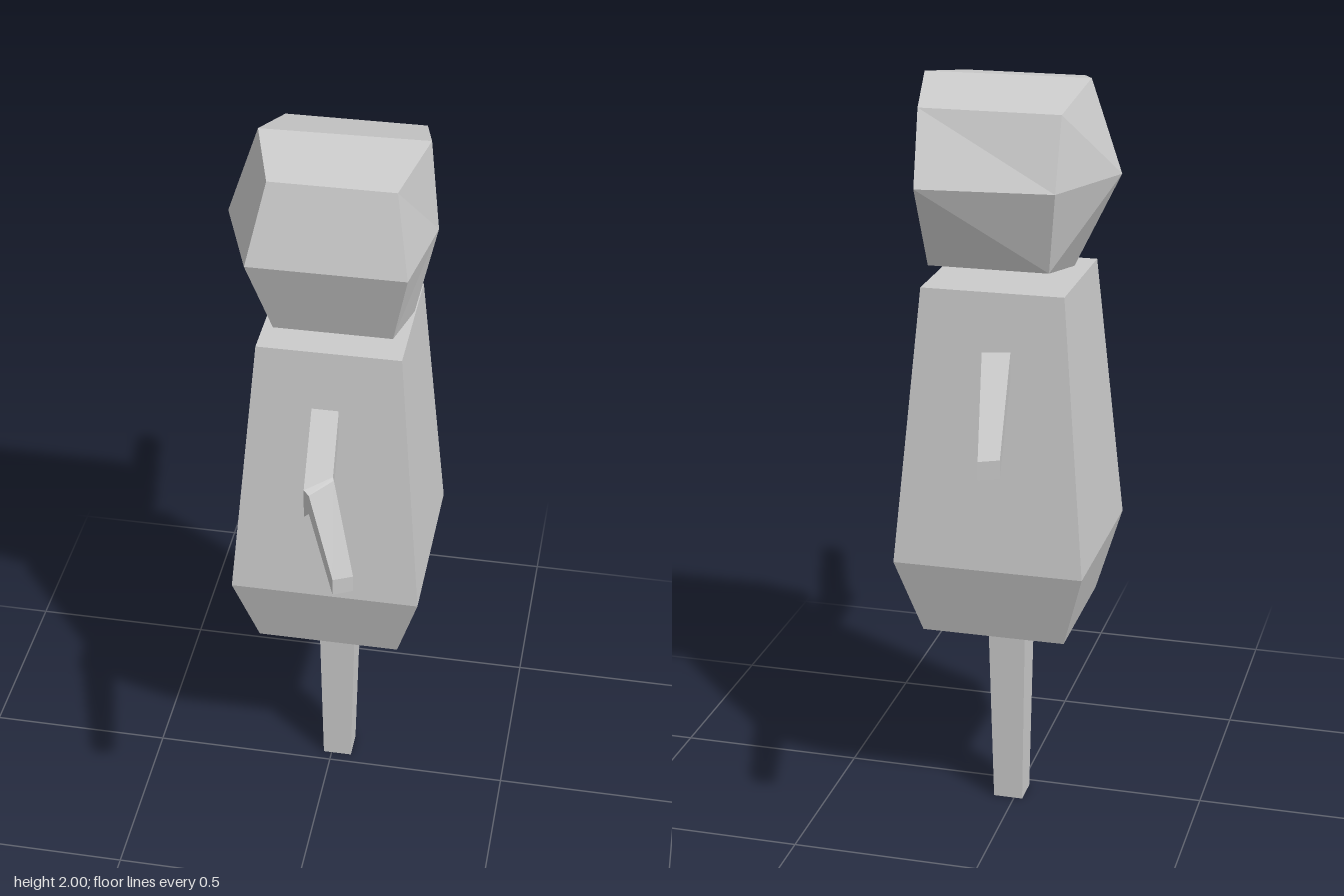
import * as THREE from 'three';

const CX = 0.017, CZ = -0.07;

const average = (ring) => ring
  .reduce((sum, p) => sum.map((v, k) => v + p[k]), [0, 0, 0])
  .map((v) => v / ring.length);

// Joins rings of points (counter-clockwise seen from the end) and closes both ends with a fan
function loft(name, rings, startTip, endTip) {
  const n = rings[0].length, first = rings[0], last = rings[rings.length - 1];
  const start = startTip || average(first), end = endTip || average(last);
  const pos = [];
  const tri = (a, b, c) => pos.push(...a, ...b, ...c);
  for (let i = 0; i < n; i++) {
    const j = (i + 1) % n;
    for (let r = 0; r < rings.length - 1; r++) {
      const a = rings[r], b = rings[r + 1];
      tri(a[i], a[j], b[j]);
      tri(a[i], b[j], b[i]);
    }
    tri(start, first[j], first[i]);
    tri(end, last[i], last[j]);
  }
  const geo = new THREE.BufferGeometry();
  geo.setAttribute('position', new THREE.Float32BufferAttribute(pos, 3));
  geo.computeVertexNormals();
  const mesh = new THREE.Mesh(geo, new THREE.MeshStandardMaterial({ color: 0xcccccc, flatShading: true }));
  mesh.name = name;
  return mesh;
}

// Horizontal square of half width h
const square = (y, h) => [[-h, h], [h, h], [h, -h], [-h, -h]].map(([x, z]) => [CX + x, y, CZ + z]);

// Upright four-cornered arm section: two sides, each [x, z, bottom y, top y]
const armRing = ([lx, lz, lb, lt], [rx, rz, rb, rt]) =>
  [[lx, lb, lz], [rx, rb, rz], [rx, rt, rz], [lx, lt, lz]];

export function createModel() {
  const group = new THREE.Group();

  // Post and tapered body
  group.add(loft('post', [square(0, 0.04), square(0.6, 0.052)]));
  group.add(loft('body', [square(0.555, 0.19), square(0.765, 0.25), square(1.49, 0.185)]));

  // Head: eight-sided profile across x, with pointed cheeks; rows are [left x, right x, y, left z, right z]
  const profile = [
    [-0.19, 0.235, 2.0, -0.07, -0.08],
    [-0.13, 0.185, 1.967, 0.127, 0.127],
    [-0.175, 0.222, 1.765, 0.19, 0.19],
    [-0.12, 0.18, 1.56, 0.127, 0.127],
    [-0.15, 0.205, 1.52, -0.07, -0.07],
    [-0.13, 0.18, 1.55, -0.26, -0.26],
    [-0.16, 0.185, 1.765, -0.325, -0.355],
    [-0.16, 0.2, 1.945, -0.26, -0.26],
  ];
  group.add(loft('head', [
    profile.map(([l, , y, z]) => [l, y, z]),
    profile.map(([, r, y, , z]) => [r, y, z]),
  ], [-0.27, 1.765, -0.07], [0.26, 1.765, -0.07]));

  // Bent front arm
  group.add(loft('frontArm', [
    armRing([-0.03, 0.08, 1.25, 1.33], [0.04, 0.08, 1.255, 1.33]),
    armRing([0.02, 0.465, 1.245, 1.325], [0.08, 0.40, 1.26, 1.325]),
    armRing([0.035, 0.478, 1.265, 1.32], [0.084, 0.41, 1.265, 1.322]),
    armRing([0.15, 0.795, 1.287, 1.33], [0.195, 0.78, 1.293, 1.335]),
  ]));

  // Straight back arm, tip first
  group.add(loft('backArm', [
    armRing([-0.145, -0.79, 1.21, 1.255], [-0.095, -0.80, 1.205, 1.25]),
    armRing([-0.03, -0.25, 1.27, 1.345], [0.045, -0.25, 1.265, 1.34]),
  ]));

  return group;
}
